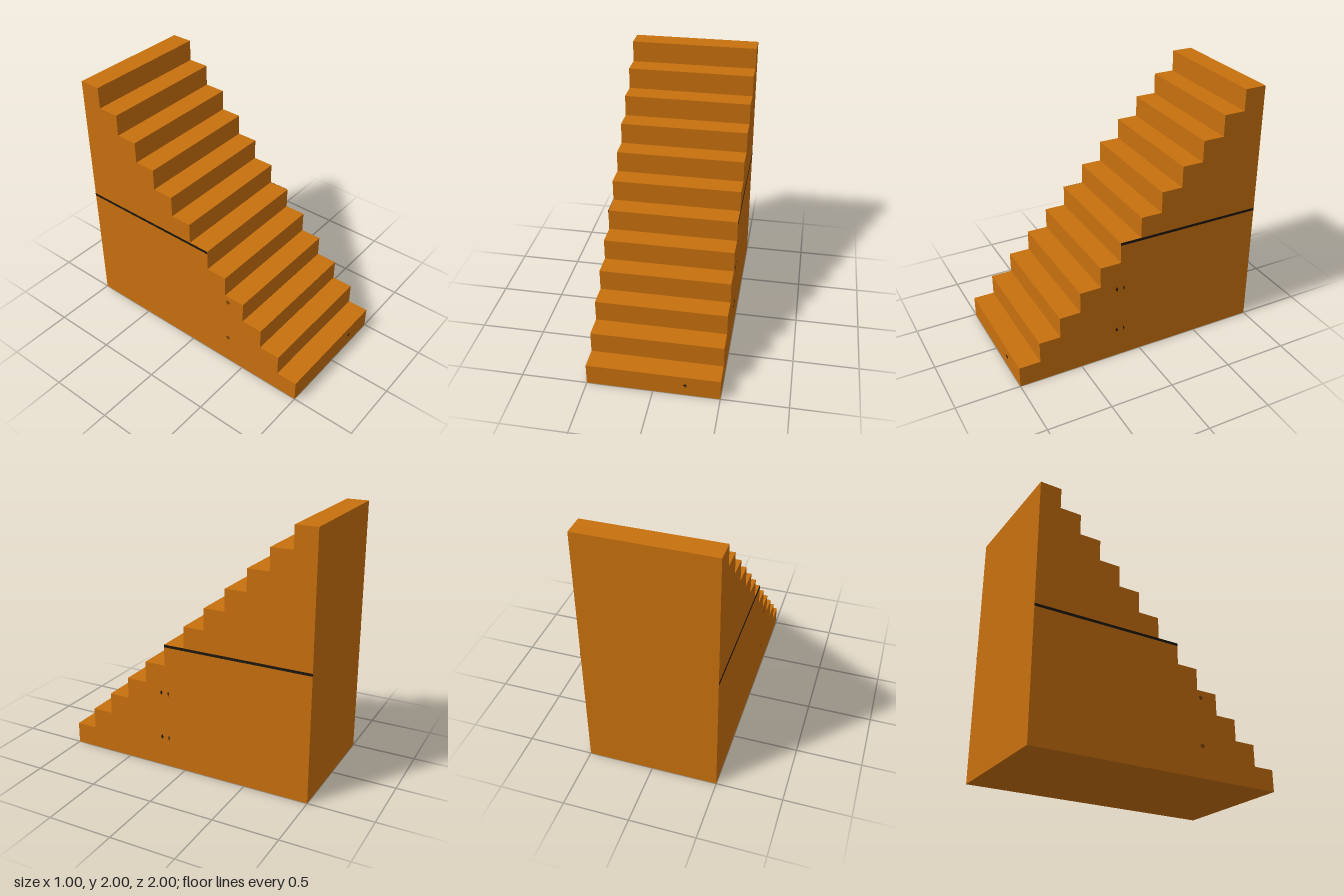
import * as THREE from 'three';

const STEPS = 12, RISE = 2 / STEPS, WIDTH = 1;

const material = (name, color) => {
  const m = new THREE.MeshStandardMaterial({ color });
  m.name = name;
  return m;
};

export function createModel() {
  const orange = material('orange', 0xc8700e);
  const black = material('black', 0x1e1710);
  const brown = material('brown', 0x7a4408);
  const group = new THREE.Group();
  group.name = 'staircase';

  const add = (name, geometry, mat, x = 0, y = 0, z = 0) => {
    const mesh = new THREE.Mesh(geometry, mat);
    mesh.name = name;
    mesh.position.set(x, y, z);
    group.add(mesh);
    return mesh;
  };

  // Solid flight: stepped side profile, extruded across the width
  const profile = new THREE.Shape();
  profile.moveTo(-1, 0);
  for (let i = 0; i < STEPS; i++) {
    profile.lineTo(-1 + i * RISE, (i + 1) * RISE);
    profile.lineTo(-1 + (i + 1) * RISE, (i + 1) * RISE);
  }
  profile.lineTo(1, 0);
  const flight = new THREE.ExtrudeGeometry(profile, { depth: WIDTH, bevelEnabled: false });
  flight.translate(0, 0, -WIDTH / 2);
  flight.rotateY(Math.PI / 2); // profile x runs towards the back
  add('stairFlight', flight, orange);

  // Dark seam along both sides, halfway up
  const seam = new THREE.BoxGeometry(0.004, 0.02, 1 + RISE);
  for (const s of [-1, 1]) add('sideSeam', seam, black, s * WIDTH / 2, 0.99, (RISE - 1) / 2);

  // Small diamond marks on the sides
  const diamond = new THREE.CylinderGeometry(0.02, 0.02, 0.004, 4);
  diamond.rotateZ(Math.PI / 2);
  diamond.scale(1, 1, 0.5);
  for (const y of [0.24, 0.61]) {
    add('sideMark', diamond, black, WIDTH / 2, y, 0.2);
    add('sideMark', diamond, black, WIDTH / 2, y, 0.14).scale.z = 0.6;
    add('sideMark', diamond, brown, -WIDTH / 2, y, 0.36).scale.z = 2;
  }

  // Small cross on the lowest riser
  add('frontMark', new THREE.BoxGeometry(0.03, 0.008, 0.004), black, 0.24, 0.09, 1);
  add('frontMark', new THREE.BoxGeometry(0.008, 0.03, 0.003), black, 0.24, 0.09, 1);

  return group;
}
